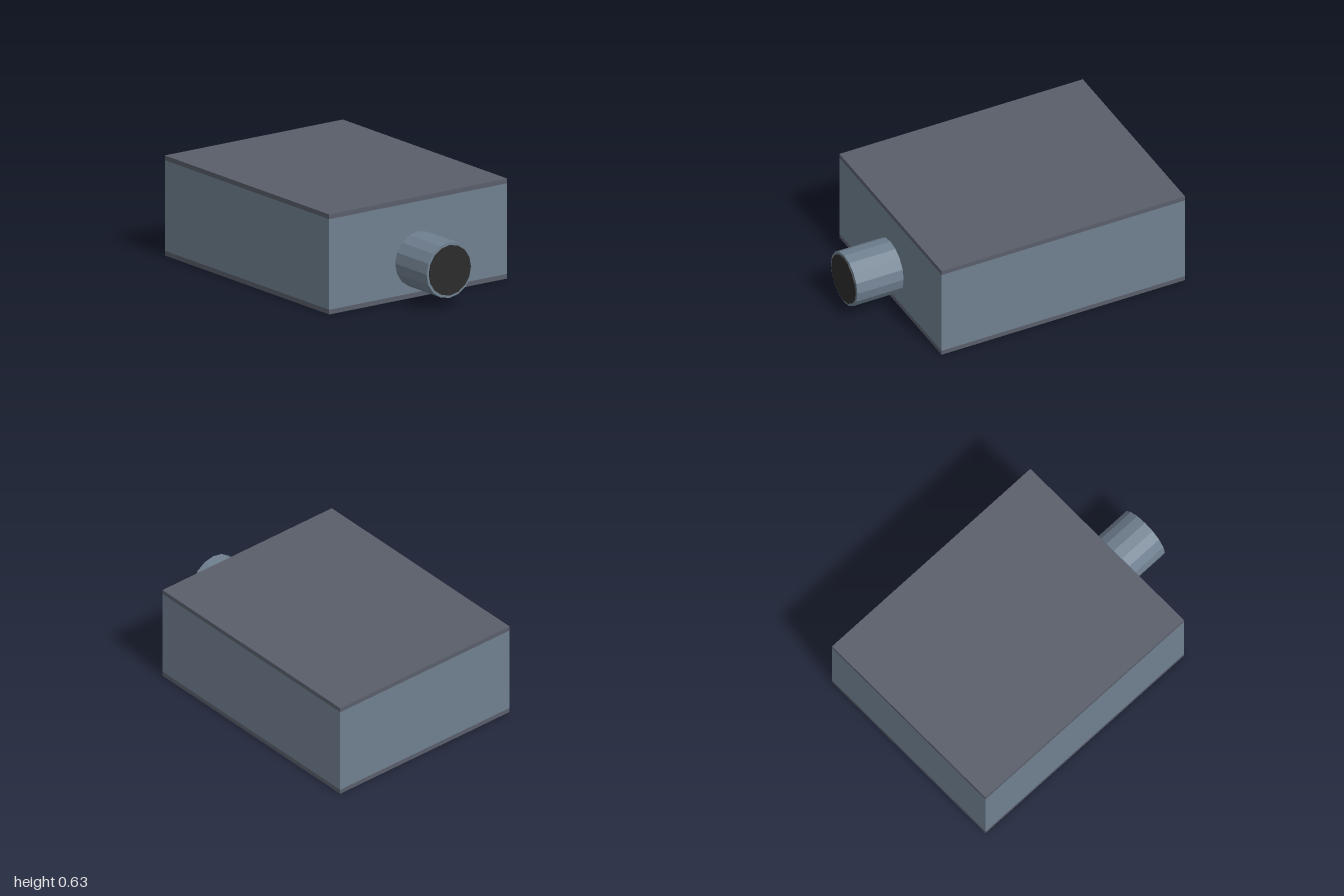
import * as THREE from 'three';

const material = (name, color) => {
  const m = new THREE.MeshStandardMaterial({ color, flatShading: true });
  m.name = name;
  return m;
};

export function createModel() {
  const model = new THREE.Group();
  model.name = 'boxWithSpout';
  const bodyBlue = material('slateBlueGrey', 0x708090);
  const plateGrey = material('darkPlateGrey', 0x595e6a);
  const openingBlack = material('openingBlack', 0x2b2b2b);

  const add = (name, geometry, mat, x, y) => {
    const mesh = new THREE.Mesh(geometry, mat);
    mesh.name = name;
    mesh.position.set(x, y, 0);
    model.add(mesh);
  };

  // Box body between two thin cover plates
  const width = 1.675, depth = 1.36, height = 0.635, plate = 0.03;
  const boxX = -1 + width / 2;
  add('body', new THREE.BoxGeometry(width, height - 2 * plate, depth), bodyBlue, boxX, height / 2);
  for (const [name, y] of [['bottomPlate', plate / 2], ['topPlate', height - plate / 2]]) {
    add(name, new THREE.BoxGeometry(width, plate, depth), plateGrey, boxX, y);
  }

  // Sixteen-sided pipe lying along x, with a dark disc for its opening
  const pipeY = 0.239;
  const rod = (radius, x0, x1) =>
    new THREE.CylinderGeometry(radius, radius, x1 - x0, 16).rotateZ(-Math.PI / 2).translate((x0 + x1) / 2, 0, 0);
  add('pipe', rod(0.176, 0.665, 0.994), bodyBlue, 0, pipeY);
  add('pipeOpening', rod(0.159, 0.992, 1), openingBlack, 0, pipeY);

  return model;
}
